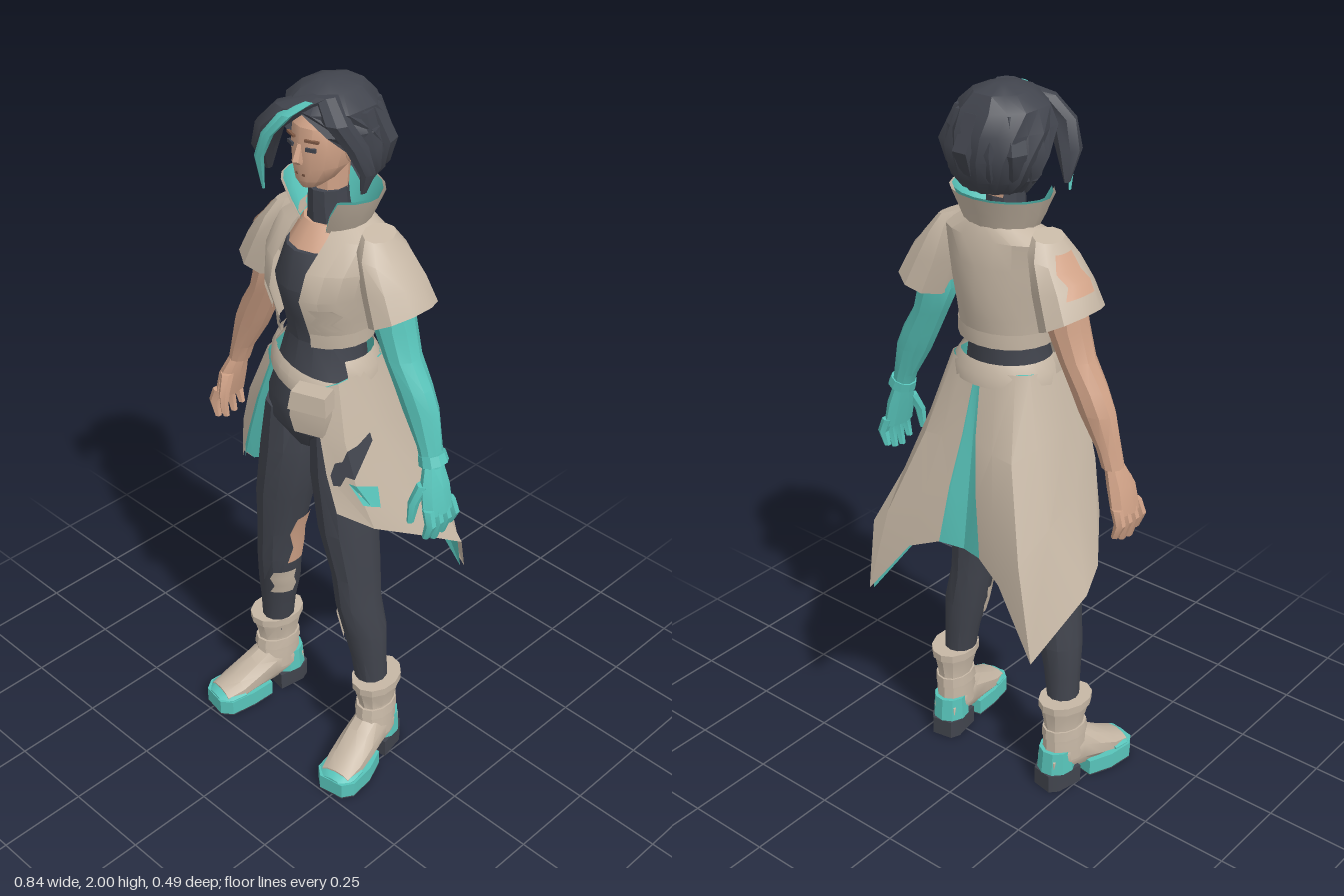
import * as THREE from 'three';
import { toCreasedNormals } from 'three/addons/utils/BufferGeometryUtils.js';

const mat = (name, color) => {
  const m = new THREE.MeshStandardMaterial({ color, side: THREE.DoubleSide });
  m.name = name;
  return m;
};

// Surface through rows of points, listed top to bottom; optional end caps
function grid(rows, capTop, capEnd) {
  const n = rows[0].length, pos = rows.flat(2), idx = [];
  for (let i = 0; i < rows.length - 1; i++) for (let j = 0; j < n - 1; j++) {
    const a = i * n + j, b = a + n;
    idx.push(a, b, b + 1, a, b + 1, a + 1);
  }
  const cap = (r, top) => {
    const c = pos.length / 3, row = rows[r];
    for (let k = 0; k < 3; k++) pos.push(row.slice(1).reduce((s, p) => s + p[k], 0) / (n - 1));
    for (let j = 0; j < n - 1; j++) {
      const a = r * n + j;
      top ? idx.push(c, a, a + 1) : idx.push(c, a + 1, a);
    }
  };
  if (capTop) cap(0, true);
  if (capEnd) cap(rows.length - 1, false);
  const g = new THREE.BufferGeometry();
  g.setAttribute('position', new THREE.Float32BufferAttribute(pos, 3));
  g.setIndex(idx);
  return g;
}

// Elliptic ring: row = [x, y, z, rx, rz, slope, frontOpening]; angle 0 is the front, growing towards +x
function ring([x, y, z, rx, rz, slope = 0, open = 0], n, { from, to, grow = 0, jag = 0 } = {}) {
  const a0 = from ?? open, a1 = to ?? Math.PI * 2 - open;
  return Array.from({ length: n + 1 }, (_, j) => {
    const a = a0 + (a1 - a0) * j / n, k = 1 + (j % 2 ? jag : -jag);
    const dx = (rx + grow) * k * Math.sin(a);
    return [x + dx, y + slope * dx, z + (rz + grow) * k * Math.cos(a)];
  });
}
const loft = (rows, n = 12, opt = {}, caps = true) => grid(rows.map(r => ring(r, n, opt)), caps, caps);

// Thin patch lying on a lofted limb between two heights and two angles
function patch(rows, top, bottom, from, to) {
  const at = y => {
    let i = 0;
    while (i < rows.length - 2 && rows[i + 1][1] > y) i++;
    const t = (rows[i][1] - y) / (rows[i][1] - rows[i + 1][1]);
    return [0, 1, 2, 3, 4, 5].map(k => THREE.MathUtils.lerp(rows[i][k] ?? 0, rows[i + 1][k] ?? 0, t));
  };
  return grid([0, .33, .67, 1].map((t, i) =>
    ring(at(top + (bottom - top) * t), 6, { from: from + .12 * (i % 2), to: to - .2 * ((i + 1) % 2), grow: .005 })));
}

function flip(g) {
  const c = g.clone().scale(-1, 1, 1), ix = c.index.array;
  for (let i = 0; i < ix.length; i += 3) [ix[i], ix[i + 1]] = [ix[i + 1], ix[i]];
  return c;
}
const box = (w, h, d, x, y, z, ry = 0) => new THREE.BoxGeometry(w, h, d).rotateY(ry).translate(x, y, z);

export function createModel() {
  const beige = mat('beige cloth', 0xc6b7a5), teal = mat('teal', 0x58c4ba), dark = mat('charcoal', 0x41444d),
    skin = mat('skin', 0xd0a287), brown = mat('brown features', 0x7d5844);
  const model = new THREE.Group();
  const add = (name, g, m) => {
    const mesh = new THREE.Mesh(toCreasedNormals(g, .55), m);
    mesh.name = name;
    model.add(mesh);
  };
  const pair = (name, g, m, mRight = m) => {
    add(name + 'Left', g, m);
    add(name + 'Right', flip(g), mRight);
  };

  // Head and face
  add('head', loft([[0, 1.95, 0, .05, .06], [0, 1.91, .005, .075, .09], [0, 1.86, .01, .077, .092], [0, 1.81, .02, .068, .08],
    [0, 1.775, .04, .045, .058], [0, 1.755, .055, .022, .032]], 14), skin);
  add('skinNeck', loft([[0, 1.82, -.01, .045, .05], [0, 1.71, -.005, .043, .045]], 10), skin);
  add('nose', loft([[0, 1.87, .092, .008, .012], [0, 1.83, .104, .013, .018], [0, 1.82, .097, .012, .012]], 6), skin);
  add('mouth', box(.03, .006, .008, 0, 1.792, .093), brown);
  pair('eye', box(.026, .009, .008, .033, 1.862, .093, .35), dark);
  pair('brow', box(.036, .006, .008, .034, 1.883, .091, .35), brown);
  pair('ear', new THREE.SphereGeometry(.02, 8, 6).scale(.5, 1.3, .8).translate(.077, 1.845, .005), skin);

  // Hair: ridged cap open over the face, with loose locks
  add('hairCap', loft([[-.01, 2, -.015, .025, .03], [-.007, 1.985, -.018, .07, .08], [-.005, 1.95, -.012, .108, .115],
    [-.005, 1.9, -.018, .126, .134, 0, .7], [-.005, 1.84, -.025, .13, .132, 0, 1.2],
    [-.003, 1.785, -.03, .118, .112, 0, 1.4], [0, 1.75, -.035, .085, .08, 0, 1.5]], 16, { jag: .04 }), dark);
  add('fringe', loft([[.03, 1.985, .04, .03, .03], [-.03, 1.955, .09, .05, .03], [-.085, 1.9, .11, .042, .03],
    [-.12, 1.83, .095, .032, .035], [-.135, 1.755, .07, .006, .01]], 8), dark);
  add('sideLock', loft([[.03, 1.985, .04, .03, .03], [.08, 1.935, .055, .035, .035], [.11, 1.87, .02, .024, .034],
    [.124, 1.8, -.005, .014, .025], [.11, 1.745, -.005, .005, .01]], 8), dark);
  for (let i = 0; i < 7; i++) {
    const a = 1.6 + i * .5, s = Math.sin(a), c = Math.cos(a), r = i % 2 ? .116 : .104;
    add('backLock' + (i + 1), loft([[.08 * s, 1.945, -.02 + .08 * c, .032, .032], [r * s, 1.86, -.02 + (r + .004) * c, .036, .036],
      [.112 * s, 1.8, -.025 + .1 * c, .024, .024], [.095 * s, 1.75 + .015 * (i % 2), -.03 + .08 * c, .004, .004]], 5), dark);
  }
  add('tealStreak', loft([[.02, 1.975, .085, .012, .01], [-.02, 1.945, .122, .022, .012], [-.062, 1.89, .141, .018, .012],
    [-.097, 1.82, .137, .013, .012], [-.113, 1.72, .11, .003, .004]], 6), teal);

  // Body suit
  add('turtleneck', loft([[0, 1.735, .002, .047, .052], [0, 1.69, 0, .05, .054], [0, 1.64, -.005, .058, .058]], 10), dark);
  add('chestSkin', loft([[0, 1.65, -.01, .07, .07], [0, 1.58, .015, .095, .103]]), skin);
  add('torso', loft([[0, 1.595, .015, .088, .102], [0, 1.5, .025, .115, .12], [0, 1.41, .015, .102, .108], [0, 1.34, .01, .1, .098],
    [0, 1.25, .02, .122, .108], [0, 1.16, .03, .148, .12], [0, 1.09, .035, .15, .112], [0, 1.02, .035, .05, .07]], 14), dark);
  const leg = [[.083, 1.11, .03, .07, .1], [.094, .97, .04, .087, .094], [.12, .8, .047, .079, .087], [.145, .65, .042, .063, .073],
    [.155, .55, .042, .06, .068], [.17, .45, .03, .062, .062], [.182, .36, .025, .051, .052], [.192, .24, .02, .042, .045]];
  pair('leg', loft(leg), dark);
  pair('kneePatch', patch(leg, .505, .415, 4.7, 5.9), beige);
  add('thighTear', flip(patch(leg, .71, .54, 4.2, 5.1)), skin);

  // Cropped jacket with pockets, hem band and flared collar
  const jacket = [[0, 1.665, -.03, .09, .065, 0, .6], [0, 1.63, -.02, .165, .092, 0, .37], [0, 1.56, .012, .163, .132, 0, .35],
    [0, 1.49, .02, .15, .145, 0, .35], [0, 1.42, .014, .134, .13, 0, .4], [0, 1.36, .008, .126, .115, 0, .42]];
  add('jacket', loft(jacket, 18, {}, false), beige);
  add('jacketHem', loft([[0, 1.385, .01, .134, .122, 0, .42], [0, 1.345, .008, .132, .12, 0, .42]], 18, {}, false), beige);
  pair('jacketPocket', patch(jacket, 1.47, 1.4, .5, 1.1), beige);
  const collar = loft([[0, 1.735, -.014, .142, .112, 0, .75], [0, 1.69, -.012, .122, .096, 0, .6], [0, 1.63, -.015, .09, .075, 0, .45]], 14, {}, false);
  add('collar', collar, beige);
  add('collarLining', collar.clone().scale(.95, 1, .95).translate(0, .003, 0), teal);

  // Flared short sleeves, one with an open shoulder
  const sleeve = [[.15, 1.648, -.02, .032, .05, -.3], [.167, 1.605, -.02, .055, .078, -.3], [.198, 1.53, -.022, .066, .092, .2],
    [.23, 1.452, -.025, .065, .102, .52]];
  pair('sleeve', grid(sleeve.map(r => ring(r, 10)), true, false), beige);
  add('shoulderCutout', flip(patch(sleeve, 1.63, 1.51, 1.2, 2.3)), skin);

  // Arms and hands
  pair('arm', loft([[.2, 1.56, -.02, .042, .05], [.21, 1.43, -.016, .057, .056], [.24, 1.35, -.015, .048, .05],
    [.278, 1.28, -.015, .053, .046], [.306, 1.22, -.015, .052, .043], [.342, 1.13, -.012, .032, .034], [.356, 1.08, -.01, .028, .032]], 10), teal, skin);
  add('wristCuff', loft([[.35, 1.11, -.012, .034, .036, .3], [.36, 1.085, -.01, .037, .04, .3]], 10), teal);
  pair('palm', loft([[.357, 1.09, -.01, .022, .028], [.375, 1.03, 0, .029, .047], [.39, .96, .002, .026, .052]], 8), teal, skin);
  for (let i = 0; i < 4; i++) {
    const z = -.039 + i * .027, end = [.9, .885, .88, .895][i];
    pair('finger' + (i + 1), loft([[.392, .98, z, .017, .014], [.406, .94, z * 1.1, .016, .014], [.392, end, z * 1.1, .01, .01]], 6), teal, skin);
  }
  pair('thumb', loft([[.365, 1.04, .03, .018, .02], [.354, .99, .054, .015, .016], [.35, .93, .06, .009, .01]], 6), teal, skin);

  // Waistband, slanted front belt and pouch
  add('waistband', loft([[0, 1.3, .005, .125, .113, 0, 1.1], [0, 1.27, .005, .145, .128, 0, 1.1], [0, 1.24, .005, .15, .132, 0, 1.1]], 16, {}, false), beige);
  add('belt', loft([[0, 1.275, .012, .133, .122, -.27], [0, 1.25, .015, .142, .132, -.27], [0, 1.215, .016, .146, .132, -.27]],
    12, { from: -1.5, to: 1.5 }, false), beige);
  const pouch = (name, rows) => add(name, loft(rows, 4, { from: Math.PI / 4, to: Math.PI * 2.25 }).rotateY(.35).translate(.09, 0, .15), beige);
  pouch('pouch', [[0, 1.245, 0, .062, .034], [0, 1.18, 0, .07, .042], [0, 1.13, 0, .055, .034]]);
  pouch('pouchFlap', [[0, 1.25, 0, .066, .038], [0, 1.2, 0, .075, .048]]);

  // Long split coat tails: columns run from the front edge round to the back vent; the side hems differ
  const columns = (sideHem, cornerHem) => [
    [[.09, 1.24, .125], [.115, 1.13, .15], [.145, 1.02, .155], [.178, .91, .15]],
    [[.128, 1.26, .095], [.175, 1.12, .12], [.21, 1, .115], [.25, .865, .085]],
    [[.143, 1.27, .02], [.19, 1.12, .01], [.24, .95, -.01], sideHem],
    [[.128, 1.28, -.06], [.18, 1.1, -.095], [.25, .91, -.13], cornerHem],
    [[.1, 1.28, -.085], [.145, 1.07, -.155], [.225, .83, -.225], [.285, .57, -.247]],
    [[.055, 1.28, -.105], [.085, 1.08, -.16], [.115, .92, -.195], [.155, .745, -.22]],
    [[.008, 1.28, -.11], [.022, 1.1, -.15], [.045, .95, -.178], [.07, .78, -.195]]];
  const tail = cols => grid([0, 1, 2, 3].map(r => cols.map(c => c[r])));
  const leftCols = columns([.295, .8, -.04], [.338, .73, -.165]);
  const leftTail = tail(leftCols), rightTail = flip(tail(columns([.315, .765, -.005], [.337, .72, -.08])));
  add('coatTailLeft', leftTail, beige);
  add('coatTailRight', rightTail, beige);
  add('coatLiningLeft', leftTail.clone().scale(.97, 1, .97), teal);
  add('coatLiningRight', rightTail.clone().scale(.97, 1, .97), teal);
  pair('ventPleat', grid([[[.02, 1.25, -.112], [0, 1.25, -.112]], [[.045, .97, -.17], [0, .97, -.15]],
    [[.08, .775, -.19], [0, .775, -.175]]]), teal);

  // Torn slash on the left tail, laid just over the cloth
  const onTail = (c, r) => {
    const i = Math.floor(c), k = Math.floor(r), mix = (a, b, t) => a.map((v, q) => v + (b[q] - v) * t);
    const p = mix(mix(leftCols[i][k], leftCols[i][k + 1], r - k), mix(leftCols[i + 1][k], leftCols[i + 1][k + 1], r - k), c - i);
    return [p[0] * 1.025, p[1], p[2] * 1.025];
  };
  const slash = [[.15, 1.95, 2.2], [.4, 1.6, 2.15], [.7, 1.5, 1.85], [1, 1.2, 1.85], [1.3, 1.15, 1.5], [1.7, 1, 1.15]];
  add('coatTear', grid([slash.map(s => onTail(s[0], s[1])), slash.map(s => onTail(s[0], s[2]))]), dark);
  add('coatTearLining', grid([[.75, 1, 1.5].map(c => onTail(c, 2)), [.95, 1.15, 1.35].map(c => onTail(c, 2.45))]), teal);

  // Boots, toes turned slightly out
  const boot = (name, g, m) => pair(name, g.rotateY(.18).translate(.2, 0, 0), m);
  const lengthwise = rows => loft(rows.map(([x, y, z, rx, ry]) => [x, -z, y, rx, ry]), 10).rotateX(-Math.PI / 2);
  const sole = (pts, y, h) => {
    const g = new THREE.ExtrudeGeometry(new THREE.Shape(pts.map(p => new THREE.Vector2(p[0], -p[1]))),
      { depth: h, bevelEnabled: false }).rotateX(-Math.PI / 2).translate(0, y, 0);
    return g.setIndex([...Array(g.attributes.position.count).keys()]);
  };
  const front = [[-.05, .07], [.05, .07], [.066, .14], [.062, .215], [.037, .243], [-.035, .243], [-.06, .215], [-.06, .14]];
  const heel = [[-.046, -.045], [-.03, -.07], [.03, -.07], [.046, -.045], [.048, .035], [-.048, .035]];
  boot('bootShaft', loft([[0, .282, .015, .061, .08], [0, .25, .015, .057, .074], [0, .2, .012, .046, .062],
    [0, .15, .015, .051, .068], [0, .09, .02, .052, .075]]), beige);
  boot('bootCuffBand', loft([[0, .285, .015, .064, .083], [0, .262, .015, .064, .082]]), beige);
  boot('bootStrap', loft([[0, .195, .013, .051, .069], [0, .165, .015, .054, .072]]), beige);
  boot('bootFoot', lengthwise([[0, .085, -.055, .035, .035], [0, .1, -.01, .05, .06], [0, .1, .05, .052, .072],
    [0, .08, .11, .055, .056], [0, .06, .17, .055, .036], [0, .05, .22, .046, .02]]), beige);
  boot('bootToeCap', lengthwise([[0, .045, .165, .061, .03], [0, .045, .21, .059, .025], [0, .04, .24, .036, .016]]), teal);
  boot('bootFrontSole', sole(front, .004, .046), teal);
  boot('bootTread', sole(front, 0, .004), dark);
  boot('bootHeel', sole(heel, 0, .055), dark);
  boot('bootHeelCounter', loft([[0, .125, -.015, .048, .05], [0, .055, -.015, .052, .056]], 10), teal);

  return model;
}
